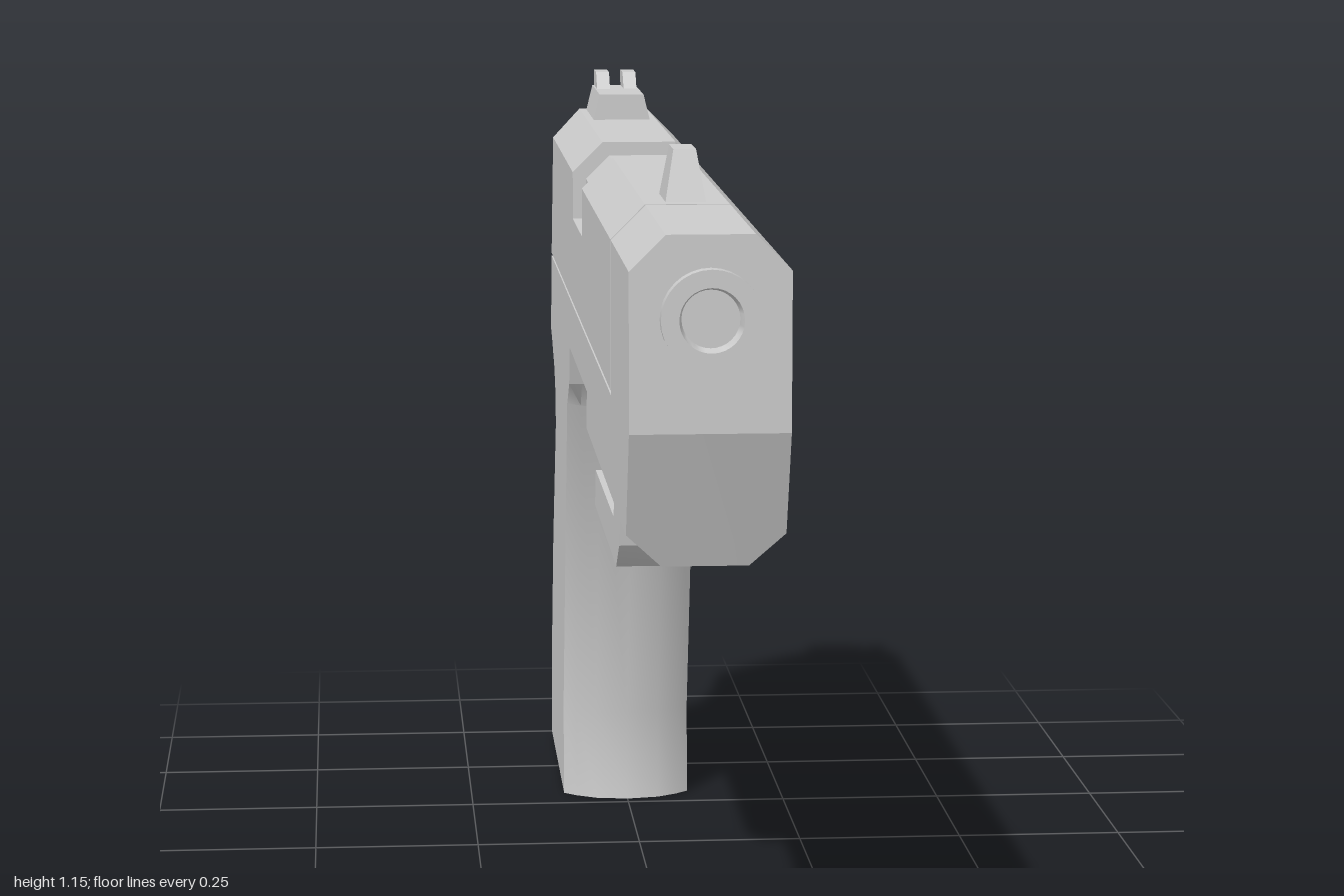
import * as THREE from 'three';
import { toCreasedNormals } from 'three/addons/utils/BufferGeometryUtils.js';

const V = (x, y, z) => new THREE.Vector3(x, y, z);
const material = new THREE.MeshStandardMaterial({ color: 0xcccccc });

function mesh(name, geometry) {
  const m = new THREE.Mesh(geometry, material);
  m.name = name;
  return m;
}

// Joins rings of equal point count and caps both ends. flat(p) gives the 2D
// ring plane whose normal faces away from the rest at the first ring.
function loft(rings, flat, crease) {
  let outline = rings[0].map(flat);
  if (THREE.ShapeUtils.isClockWise(outline)) {
    rings = rings.map((r) => [...r].reverse());
    outline = rings[0].map(flat);
  }
  const n = outline.length, last = (rings.length - 1) * n, index = [];
  for (let i = 0; i < last; i += n) {
    for (let k = 0; k < n; k++) {
      const a = i + k, b = i + (k + 1) % n;
      index.push(a, a + n, b, b, a + n, b + n);
    }
  }
  for (const ring of [0, rings.length - 1]) {
    const pts = rings[ring].map(flat);
    for (const t of THREE.ShapeUtils.triangulateShape(pts, [])) {
      const ccw = THREE.ShapeUtils.area(t.map((k) => pts[k])) > 0;
      const [a, b, c] = ccw ? t : [t[0], t[2], t[1]];
      if (ring === 0) index.push(a, b, c);
      else index.push(last + a, last + c, last + b);
    }
  }
  const g = new THREE.BufferGeometry().setFromPoints(rings.flat());
  g.setIndex(index);
  return toCreasedNormals(g, crease);
}

const flatX = (p) => new THREE.Vector2(p.z, p.y);
const flatZ = (p) => new THREE.Vector2(p.x, p.y);

// Side outline [z, y, inset z, inset y] swept across x; each profile entry
// [x, t] blends from the inset outline (0) to the outer one (1).
function sideLoft(points, profile, crease = 0.3) {
  const rings = profile.map(([x, t]) => points.map(([z, y, iz = z, iy = y]) =>
    V(x, iy + (y - iy) * t, iz + (z - iz) * t)));
  return loft(rings, flatX, crease);
}
const prism = (points, x0, x1, crease) => sideLoft(points, [[x0, 1], [x1, 1]], crease);
const CHAMFER = [[-0.1, 0], [-0.055, 1], [0.055, 1], [0.1, 0]];
const ROUND = [[-0.1, 0], [-0.08, 0.4], [-0.05, 0.8], [0, 1], [0.05, 0.8], [0.08, 0.4], [0.1, 0]];

// Box whose top face is scaled in x and z
function taperedBox(w, h, d, sx, sz) {
  const g = new THREE.BoxGeometry(w, h, d).toNonIndexed();
  const p = g.attributes.position;
  for (let i = 0; i < p.count; i++) {
    if (p.getY(i) > 0) p.setXYZ(i, p.getX(i) * sx, p.getY(i), p.getZ(i) * sz);
  }
  g.computeVertexNormals();
  return g;
}

export function createModel() {
  const group = new THREE.Group();
  const add = (name, geometry, x = 0, y = 0, z = 0) => {
    const m = mesh(name, geometry);
    m.position.set(x, y, z);
    group.add(m);
    return m;
  };

  // Frame with the fixed front block and the rear tail
  add('frame', sideLoft([
    [0.98, 0.84],
    [0.91, 0.662, 0.925, 0.705],
    [0.078, 0.662, 0.085, 0.705],
    [0.1, 0.76],
    [-0.35, 0.76],
    [-0.37, 0.7],
    [-0.9, 0.7],
    [-0.972, 0.73, -0.93, 0.712],
    [-0.945, 0.837, -0.9, 0.837],
    [0.642, 0.837],
    [0.642, 1.085, 0.642, 1.04],
    [0.98, 1.085, 0.98, 1.04],
  ], CHAMFER));

  // Grip, rounded on its front and back
  add('grip', sideLoft([
    [-0.37, 0.7],
    [-0.381, 0.66, -0.43, 0.66],
    [-0.53, 0.14, -0.575, 0.14],
    [-0.52, 0, -0.565, 0],
    [-1, 0.01, -0.96, 0.01],
    [-0.99, 0.165, -0.945, 0.165],
    [-0.92, 0.36, -0.885, 0.36],
    [-0.86, 0.475, -0.83, 0.475],
    [-0.805, 0.57, -0.785, 0.57],
    [-0.81, 0.63, -0.79, 0.62],
    [-0.85, 0.672, -0.825, 0.66],
    [-0.9, 0.7],
  ], ROUND, 0.65));

  // Slide: front part, ejection port part, rear part with chamfered end
  const section = (w, t, shoulder, zs) => [
    V(-w, 0.842, zs[0]), V(w, 0.842, zs[0]), V(w, shoulder, zs[1]),
    V(t, 1.085, zs[2]), V(-t, 1.085, zs[2]), V(-w, shoulder, zs[1]),
  ];
  const full = (z) => section(0.1, 0.055, 1.04, [z, z, z]);
  add('slideFront', loft([full(0.633), full(-0.01)], flatZ, 0.3));
  const port = (z) => [
    [-0.1, 0.842], [0.1, 0.842], [0.1, 1.04], [0.055, 1.085], [0.055, 1.065],
    [-0.045, 1.065], [-0.08, 1.03], [-0.08, 0.97], [-0.1, 0.97],
  ].map(([x, y]) => V(x, y, z));
  add('ejectionPort', loft([port(-0.01), port(-0.25)], flatZ, 0.3));
  add('slideRear', loft([
    full(-0.25),
    section(0.1, 0.055, 1.04, [-0.9, -0.835, -0.86]),
    section(0.06, 0.04, 1.05, [-0.945, -0.874, -0.862]),
  ], flatZ, 0.3));

  // Cores that close the seams around the slide
  add('slideSeam', new THREE.BoxGeometry(0.185, 0.03, 1.5), 0, 0.84, -0.12);
  add('frontSeam', new THREE.BoxGeometry(0.185, 0.2, 0.03), 0, 0.935, 0.637);

  // Muzzle ring with its bore
  const bore = [[0.0625, 0.97], [0.0625, 1], [0.04, 1], [0.036, 0.982], [0, 0.982]]
    .map(([r, z]) => new THREE.Vector2(r, z));
  const muzzle = new THREE.LatheGeometry(bore, 32).rotateX(Math.PI / 2);
  add('muzzle', toCreasedNormals(muzzle, 0.6), 0, 0.982, 0);

  // Trigger guard and trigger
  add('triggerGuard', prism([
    [0.158, 0.69], [0.155, 0.66], [0.13, 0.54], [0.065, 0.497], [-0.47, 0.497],
    [-0.47, 0.555], [0, 0.56], [0.062, 0.62], [0.08, 0.69],
  ], -0.056, 0.056, 0.7));
  add('trigger', prism([
    [-0.155, 0.77], [-0.172, 0.72], [-0.182, 0.67], [-0.173, 0.62], [-0.137, 0.56],
    [-0.17, 0.575], [-0.21, 0.62], [-0.223, 0.67], [-0.215, 0.72], [-0.2, 0.77],
  ], -0.022, 0.022, 0.6));

  // Sights
  add('frontSight', taperedBox(0.054, 0.07, 0.11, 0.55, 0.65), 0, 1.117, 0.553);
  add('rearSightBase', taperedBox(0.092, 0.045, 0.2, 0.76, 1), 0, 1.1025, -0.74);
  for (const s of [-1, 1]) {
    const post = prism([[-0.755, 1.122], [-0.785, 1.15], [-0.84, 1.15], [-0.84, 1.122]],
      -0.0105, 0.0105);
    add('rearSightPost', post, s * 0.0215, 0, 0);
  }

  // Hammer: knob and arm against the slanted rear face
  const knob = new THREE.CylinderGeometry(0.036, 0.036, 0.06, 20).rotateZ(Math.PI / 2);
  add('hammerKnob', knob, 0, 0.985, -0.918);
  add('hammerArm', prism([
    [-0.87, 1.0], [-0.925, 0.97], [-0.925, 0.93], [-0.938, 0.885], [-0.9, 0.88],
  ], -0.03, 0.03));

  return group;
}
